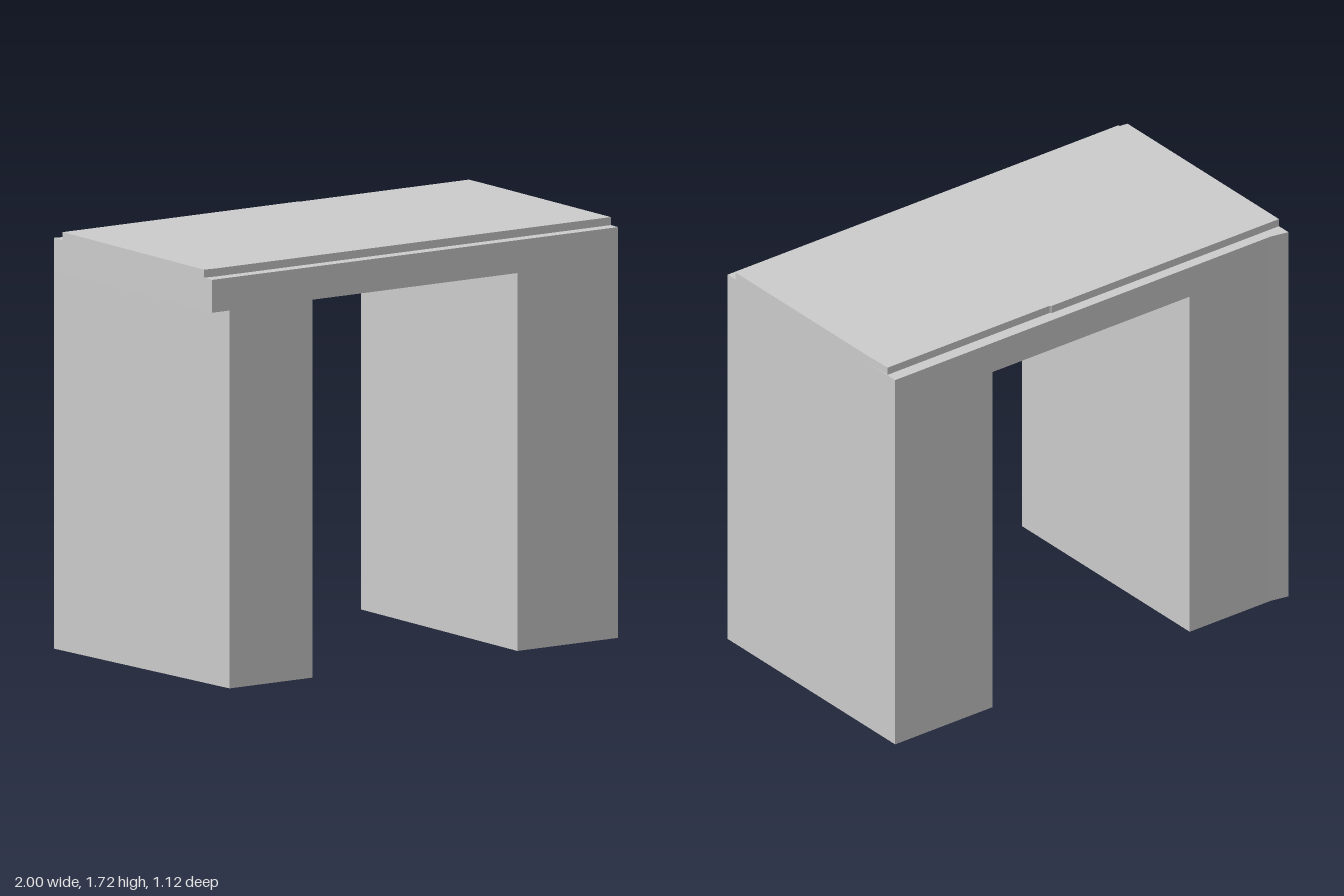
import * as THREE from 'three';

const material = new THREE.MeshStandardMaterial({ color: 0xcccccc, flatShading: true });

// Upright prism from a plan outline of [x, z] corners
function prism(name, plan, bottom, top) {
  const shape = new THREE.Shape(plan.map(([x, z]) => new THREE.Vector2(x, -z)));
  const geometry = new THREE.ExtrudeGeometry(shape, { depth: top - bottom, bevelEnabled: false });
  geometry.rotateX(-Math.PI / 2).translate(0, bottom, 0);
  const mesh = new THREE.Mesh(geometry, material);
  mesh.name = name;
  return mesh;
}

export function createModel() {
  const group = new THREE.Group();
  group.name = 'archway';
  const front = 0.555, back = -0.545, flare = -0.56;
  const beamBottom = 1.552, beamTop = 1.687, slabTop = 1.72;

  // Left leg: plain block
  group.add(prism('leftLeg',
    [[0.503, front], [1, front], [1, back], [0.503, back]], 0, beamBottom));

  // Right leg: outer side slants inward to the front, back corner flares out
  group.add(prism('rightLeg',
    [[-0.915, front], [-0.507, front], [-0.507, back], [-0.92, back], [-1, flare]], 0, beamBottom));

  // Beam spanning both legs, with the same flared back corner
  group.add(prism('beam',
    [[-1, front], [1, front], [1, back], [-0.92, back], [-1, flare]], beamBottom, beamTop));

  // Thin top slab, stepped in at front and back
  group.add(prism('topSlab',
    [[-1, 0.497], [-0.94, 0.503], [1, 0.503], [1, -0.35], [0.997, -0.492], [0.17, -0.492], [0.16, -0.498], [-1, -0.498]],
    beamTop, slabTop));

  return group;
}
